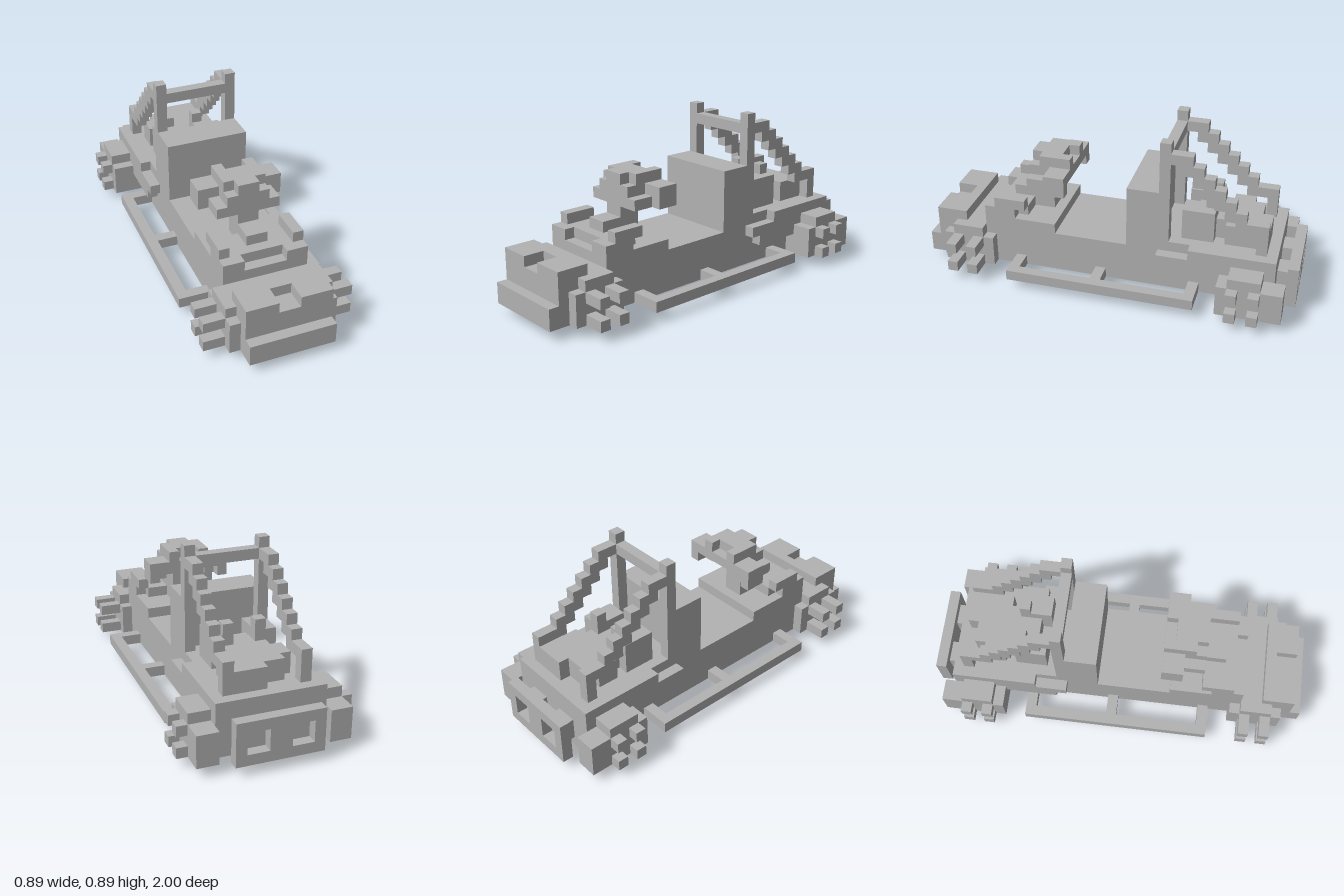
import * as THREE from 'three';

const U = 1 / 18; // one block

export function createModel() {
  const model = new THREE.Group();
  const grey = new THREE.MeshStandardMaterial({ color: 0xb2b2b2 });
  grey.name = 'plain grey';

  // box between two corners, in blocks
  const box = (name, x0, x1, y0, y1, z0, z1) => {
    const g = new THREE.BoxGeometry((x1 - x0) * U, (y1 - y0) * U, (z1 - z0) * U);
    const m = new THREE.Mesh(g, grey);
    m.name = name;
    m.position.set((x0 + x1) / 2 * U, (y0 + y1) / 2 * U, (z0 + z1) / 2 * U);
    model.add(m);
  };
  // the same box on both sides
  const pair = (name, x0, x1, ...rest) => {
    box(name + 'Left', x0, x1, ...rest);
    box(name + 'Right', -x1, -x0, ...rest);
  };

  // chassis with an open frame underneath
  box('floor', -4, 4, 2, 5, -11, 17);
  pair('frameBeam', 3, 4, 1, 2, -11, 18);
  for (const z of [17, 12, 8, 0, -7]) box('crossBeam', -3, 3, 1, 2, z, z + 1);

  // nose
  box('frontBumper', -4, 4, 2, 3, 17, 18);
  pair('noseCheek', 1, 4, 3, 6, 14, 17);
  box('noseBack', -1, 1, 3, 6, 14, 15);
  box('noseBar', -1, 1, 4, 5, 15, 17);
  box('noseRecess', -1, 1, 3, 4, 15, 16);

  // dashboard
  box('cowl', -4, 4, 5, 6, 5, 12);
  box('cowlStep', -3, 3, 6, 7, 8, 11);
  pair('cowlCorner', 2, 4, 6, 7, 9, 12);
  pair('cowlKnob', 3, 4, 7, 8, 8, 11);
  box('columnFoot', -1, 1, 6, 8, 8, 10);
  box('steeringColumn', -1, 1, 6, 10, 6, 8);

  // handlebar head
  box('headCore', -2, 2, 9, 11, 6, 8);
  box('headTop', -1, 1, 11, 12, 5, 8);
  pair('headHorn', 1, 2, 11, 12, 4, 7);
  pair('handleArm', 2, 3, 9, 10, 5, 8);
  pair('handleGrip', 3, 4, 9, 11, 4, 6);
  box('headBack', -3, 3, 10, 11, 4, 6);

  // seat
  box('seatBack', -4, 4, 5, 11, -5, -2);

  // roll cage: posts, crossbar and stepped struts
  pair('cagePost', 3, 4, 5, 16, -6, -5);
  box('cageBar', -3, 3, 14, 15, -6, -5);
  pair('strut', 3, 4, 14, 15, -7, -6);
  for (let i = 0; i < 6; i++) pair('strut', 3, 4, 13 - i, 15 - i, -8 - i, -7 - i);
  pair('strutEnd', 3, 4, 8, 9, -15, -13);
  pair('strutFoot', 3, 4, 6, 8, -15, -14);

  // rear body and side pipes
  box('rearDeck', -4, 4, 5, 6, -11, -5);
  pair('rearShoulder', 4, 5, 3, 6, -11, -8);
  pair('sidePipe', 4, 5, 4, 5, -8, -5);
  pair('sidePipeBase', 4, 5, 3, 4, -8, -6);
  box('rearBody', -5, 5, 1, 6, -16, -11);
  box('skid', -2, 2, 0, 1, -15, -11);

  // engine
  box('engineBlock', -2, 2, 6, 8, -14, -8);
  pair('engineCylinder', 1, 3, 6, 9, -10, -7);
  pair('engineCap', 1, 2, 9, 10, -10, -9);
  pair('engineValve', 2, 3, 6, 8, -13, -11);
  box('engineCover', 0, 3, 6, 8, -15, -13);

  // tail frame with two openings
  for (const y of [1, 4]) box('tailRail', -4, 4, y, y + 1, -18, -17);
  pair('tailUpright', 3, 4, 2, 4, -18, -17);
  box('tailCentre', -1, 1, 2, 4, -18, -17);
  pair('tailMount', 1, 3, 2, 4, -17, -16);

  // wheels with pegs
  pair('rearWheel', 5, 7, 1, 4, -17, -11);
  pair('rearWheelTop', 5, 7, 4, 5, -15, -12);
  pair('frontWheel', 4, 5, 1, 4, 11, 16);
  pair('frontWheelTop', 4, 5, 4, 5, 12, 15);
  for (const y of [1, 3]) {
    for (const z of [-15, -13]) pair('rearPeg', 7, 8, y, y + 1, z, z + 1);
    for (const z of [12, 14]) pair('frontPeg', 5, 7, y, y + 1, z, z + 1);
  }

  // side rails
  pair('sideRail', 6, 7, 1, 2, -9, 9);
  for (const z of [-9, 8]) pair('railEnd', 4, 6, 1, 2, z, z + 1);
  box('railBraceLeft', 4, 6, 1, 2, 0, 1);
  box('railBraceRight', -6, -4, 1, 2, -1, 0);

  return model;
}
